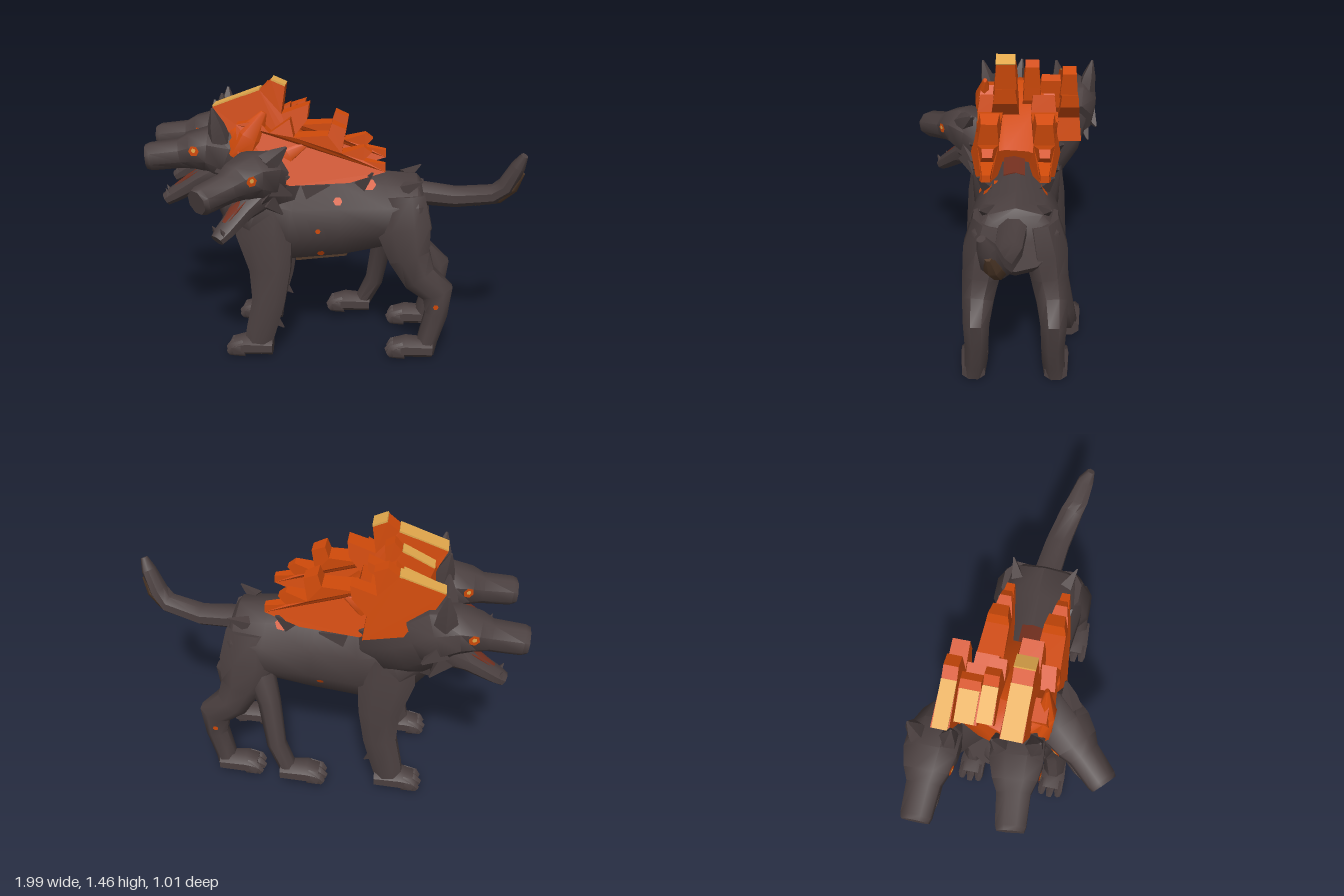
import * as THREE from 'three';
import { toCreasedNormals } from 'three/addons/utils/BufferGeometryUtils.js';

const mat = (name, color) => {
  const m = new THREE.MeshStandardMaterial({ color });
  m.name = name;
  return m;
};

export function createModel() {
  const fur = mat('dark fur', 0x4a3f3f);
  const flame = mat('flame orange', 0xd04a0a);
  const tip = mat('flame yellow', 0xe2a84c);
  const mouth = mat('mouth red', 0x74301f);
  const brown = mat('scorched brown', 0x4e3828);

  const root = new THREE.Group();
  root.name = 'threeHeadedHound';
  const V = (x, y, z) => new THREE.Vector3(x, y, z);

  const add = (name, geo, material, parent = root) => {
    const mesh = new THREE.Mesh(geo, material);
    mesh.name = name;
    parent.add(mesh);
    return mesh;
  };

  // Skin over rings [x, y, z, half width, half height] along a path
  function loft(path, sides = 8) {
    const c = path.map(p => V(p[0], p[1], p[2]));
    const rings = path.map((p, i) => {
      const t = c[Math.min(i + 1, c.length - 1)].clone().sub(c[Math.max(i - 1, 0)]).normalize();
      const s = V(0, 0, 1).addScaledVector(t, -t.z).normalize();
      const n = t.clone().cross(s);
      return Array.from({ length: sides }, (_, j) => {
        const a = (j + 0.5) / sides * Math.PI * 2;
        return c[i].clone().addScaledVector(s, p[3] * 1.05 * Math.cos(a)).addScaledVector(n, p[4] * 1.05 * Math.sin(a));
      });
    });
    const out = [];
    const last = rings.length - 1;
    for (let j = 0; j < sides; j++) {
      const k = (j + 1) % sides;
      for (let i = 0; i < last; i++) {
        const [a, b, d, e] = [rings[i][j], rings[i][k], rings[i + 1][k], rings[i + 1][j]];
        out.push(a, b, d, a, d, e);
      }
      out.push(c[0], rings[0][k], rings[0][j], c[last], rings[last][j], rings[last][k]);
    }
    return toCreasedNormals(new THREE.BufferGeometry().setFromPoints(out), 0.85);
  }

  // Four-sided tuft or claw from a base point to a tip
  const spike = (name, a, b, r, parent = root) =>
    add(name, loft([[...a, r, r], [...b, r * 0.1, r * 0.1]], 4), fur, parent);

  // Thin patch laid on a surface, found by casting along z; lift keeps stacked patches apart
  function patch(name, target, x, y, side, r, material, parent = root, lift = 0.005) {
    const ray = new THREE.Raycaster(V(x, y, side * 2), V(0, 0, -side));
    const hit = ray.intersectObject(target)[0];
    if (!hit) return;
    const m = add(name, new THREE.CircleGeometry(r, 6), material, parent);
    m.position.copy(hit.point).addScaledVector(hit.face.normal, lift);
    m.quaternion.setFromUnitVectors(V(0, 0, 1), hit.face.normal);
  }

  // Torso
  const Z = -0.06;
  const body = add('torso', loft([
    [0.5, 0.78, Z, 0.17, 0.13], [0.46, 0.77, Z, 0.21, 0.17], [0.3, 0.76, Z, 0.23, 0.19],
    [0.05, 0.73, Z, 0.2, 0.23], [-0.2, 0.72, Z, 0.23, 0.25], [-0.38, 0.78, Z, 0.26, 0.24],
    [-0.52, 0.84, Z, 0.19, 0.17]
  ], 10), fur);
  add('belly', loft([[0.08, 0.52, Z, 0.075, 0.03], [-0.19, 0.49, Z, 0.085, 0.03]], 6), brown);
  [[0.04, 0.84, 0.024], [-0.06, 0.69, 0.014], [-0.05, 0.55, 0.02], [0.2, 0.92, 0.035], [0.15, 0.93, 0.025]]
    .forEach(([x, y, r]) => patch('emberSpot', body, x, y, 1, r, flame));
  patch('emberSpot', body, 0.0, 0.62, -1, 0.02, flame);
  patch('emberSpot', body, 0.2, 0.92, -1, 0.035, flame);

  // Tail
  add('tail', loft([
    [0.44, 0.85, -0.05, 0.07, 0.06], [0.65, 0.835, -0.03, 0.065, 0.052], [0.84, 0.865, 0.01, 0.06, 0.048],
    [0.9, 0.92, 0.035, 0.055, 0.046], [0.95, 1.03, 0.06, 0.042, 0.036], [0.975, 1.09, 0.08, 0.02, 0.018]
  ]), fur);
  add('tailScorch', loft([[0.74, 0.838, -0.01, 0.025, 0.045], [0.86, 0.866, 0.015, 0.04, 0.046], [0.92, 0.92, 0.035, 0.042, 0.042],
    [0.955, 1.0, 0.052, 0.02, 0.034]], 8), brown);

  // Legs and paws
  function paw(x, y, z) {
    add('paw', loft([[x + 0.23, y + 0.05, z, 0.06, 0.048], [x + 0.09, y + 0.055, z, 0.072, 0.054], [x + 0.03, y + 0.045, z, 0.068, 0.044]]), fur);
    for (const k of [-1, 0, 1])
      add('toe', loft([[x + 0.08, y + 0.046, z + k * 0.046, 0.024, 0.046], [x + 0.02, y + 0.038, z + k * 0.048, 0.024, 0.036],
        [x - (k ? 0 : 0.012), y + 0.02, z + k * 0.048, 0.015, 0.018]], 6), fur);
  }
  for (const s of [1, -1]) {
    const z = d => Z + s * d;
    add('frontLeg', loft([
      [-0.34, 0.86, z(0.15), 0.09, 0.14], [-0.34, 0.66, z(0.17), 0.1, 0.15], [-0.31, 0.47, z(0.2), 0.08, 0.11],
      [-0.32, 0.3, z(0.22), 0.068, 0.088], [-0.36, 0.14, z(0.235), 0.06, 0.08], [-0.385, 0.03, z(0.235), 0.058, 0.07]
    ]), fur);
    paw(-0.53, 0, z(0.235));
    spike('dewclaw', [-0.29, 0.2, z(0.23)], [-0.24, 0.15, z(0.23)], 0.03);
    const hind = add('hindLeg', loft([
      [0.37, 0.86, z(0.12), 0.09, 0.12], [0.38, 0.7, z(0.15), 0.11, 0.145], [0.415, 0.55, z(0.17), 0.095, 0.11],
      [0.47, 0.44, z(0.185), 0.08, 0.09], [0.565, 0.36, z(0.19), 0.066, 0.085], [0.56, 0.24, z(0.19), 0.06, 0.06],
      [0.52, 0.1, z(0.2), 0.056, 0.054], [0.505, 0.02, z(0.21), 0.055, 0.05]
    ]), fur);
    patch('emberSpot', hind, 0.555, 0.3, s, 0.015, flame);
    paw(0.315, 0, z(0.21));
    // Hip, back and shoulder tufts
    spike('hipTuft', [0.38, 0.9, z(0.13)], [0.47, 0.95, z(0.17)], 0.04);
    spike('backTuft', [0.16, 0.93, z(0.14)], [0.22, 1.0, z(0.19)], 0.045);
    spike('flankTuft', [-0.12, 0.9, z(0.18)], [0.0, 0.94, z(0.22)], 0.05);
    spike('shoulderTuft', [-0.3, 0.93, z(0.18)], [-0.2, 0.99, z(0.25)], 0.06);
  }
  add('extraLeg', loft([
    [0.32, 0.62, -0.22, 0.07, 0.08], [0.265, 0.48, -0.27, 0.06, 0.058], [0.225, 0.24, -0.32, 0.052, 0.05],
    [0.16, 0.1, -0.345, 0.05, 0.045], [0.12, 0.07, -0.345, 0.045, 0.03]
  ]), fur);
  paw(-0.03, 0.035, -0.345);

  // Heads, each built facing -x around the eye line; ear is [tip x, tip height, tip spread]
  function head(name, pos, yaw, pitch, ear) {
    const g = new THREE.Group();
    g.name = name;
    const skull = add('skull', loft([
      [0.22, -0.07, 0, 0.1, 0.12], [0.12, -0.02, 0, 0.13, 0.14], [0.02, 0.01, 0, 0.13, 0.112],
      [-0.06, 0.0, 0, 0.108, 0.092], [-0.12, -0.015, 0, 0.082, 0.074], [-0.27, -0.03, 0, 0.074, 0.07],
      [-0.295, -0.032, 0, 0.066, 0.06]
    ]), fur, g);
    add('lowerJaw', loft([
      [0.1, -0.1, 0, 0.09, 0.09], [-0.03, -0.16, 0, 0.066, 0.055], [-0.16, -0.235, 0, 0.055, 0.04], [-0.205, -0.262, 0, 0.04, 0.032]
    ]), fur, g);
    add('tongue', loft([[-0.02, -0.105, 0, 0.04, 0.014], [-0.08, -0.142, 0, 0.038, 0.014], [-0.15, -0.19, 0, 0.028, 0.01]], 6), mouth, g);
    for (const s of [-1, 1]) {
      add('ear', loft([[0.09, 0.06, s * 0.07, 0.05, 0.06],
        [(0.09 + ear[0]) / 2, 0.06 + (ear[1] - 0.06) * 0.5, s * (0.035 + ear[2] / 2), 0.036, 0.042],
        [ear[0], ear[1], s * ear[2], 0.006, 0.006]], 5), fur, g);
      patch('eye', skull, -0.04, 0.022, s, 0.028, flame, g);
      patch('eyeGlow', skull, -0.04, 0.026, s, 0.012, tip, g, 0.008);
      spike('cheekTuft', [0.1, -0.06, s * 0.08], [0.19, -0.12, s * 0.13], 0.06, g);
      spike('jawTuft', [0.08, -0.13, s * 0.06], [0.15, -0.22, s * 0.09], 0.05, g);
      spike('lowerFang', [-0.18, -0.24, s * 0.032], [-0.2, -0.195, s * 0.034], 0.018, g);
    }
    g.position.set(...pos);
    g.rotation.set(0, yaw, pitch);
    root.add(g);
  }
  head('middleHead', [-0.66, 1.08, 0.03], 0.12, 0, [0.06, 0.24, 0.11]);
  head('farHead', [-0.7, 1.08, -0.375], 0, 0, [0.09, 0.235, 0.1]);
  head('nearHead', [-0.42, 0.99, 0.24], 0.82, 0.1, [0.2, 0.13, 0.11]);

  // Necks
  add('middleNeck', loft([[-0.3, 0.85, -0.05, 0.16, 0.17], [-0.45, 0.96, -0.01, 0.13, 0.16], [-0.56, 1.05, 0.02, 0.11, 0.12]]), fur);
  add('farNeck', loft([[-0.3, 0.84, -0.17, 0.13, 0.17], [-0.45, 0.94, -0.3, 0.12, 0.16], [-0.6, 1.04, -0.37, 0.11, 0.12]]), fur);
  add('nearNeck', loft([[-0.25, 0.84, 0.0, 0.13, 0.15], [-0.32, 0.92, 0.11, 0.12, 0.14], [-0.37, 0.96, 0.2, 0.11, 0.12]]), fur);
  add('chest', loft([[-0.36, 0.72, Z, 0.2, 0.18], [-0.5, 0.77, Z, 0.15, 0.13], [-0.56, 0.82, Z, 0.07, 0.08]]), fur);
  for (const z of [-0.22, -0.06, 0.1]) spike('chestTuft', [-0.48, 0.78, z], [-0.56, 0.69, z], 0.06);

  // Burning mane: central mass, then flame blades that thin out upwards and to the rear
  add('maneMass', loft([
    [-0.54, 1.14, -0.13, 0.14, 0.1], [-0.44, 1.13, -0.1, 0.23, 0.15], [-0.28, 1.07, -0.08, 0.21, 0.14], [-0.05, 0.97, Z, 0.15, 0.07]
  ]), flame);
  add('maneHollow', loft([[-0.06, 0.965, -0.05, 0.06, 0.03], [0.1, 0.94, -0.05, 0.06, 0.03]], 6), mouth);
  function blade(name, pts, z, half, lean) {
    const g = new THREE.ExtrudeGeometry(new THREE.Shape(pts.map(p => new THREE.Vector2(...p))), { depth: 2, bevelEnabled: false });
    const p = g.attributes.position;
    for (let i = 0; i < p.count; i++) {
      const h = THREE.MathUtils.clamp((p.getY(i) - 0.95) / 0.4, 0, 1);
      const rear = 1 - 0.75 * THREE.MathUtils.smoothstep(p.getX(i), -0.1, 0.28);
      p.setZ(i, z + lean * h + (p.getZ(i) - 1) * half * (1.35 - 0.7 * h) * rear);
    }
    g.computeVertexNormals();
    add(name, g, flame);
  }
  const ridge = [[-0.46, 1.06], [-0.47, 1.24], [-0.36, 1.26], [-0.3, 1.2], [-0.2, 1.27], [-0.18, 1.18], [-0.01, 1.19], [0.01, 1.25],
    [0.08, 1.22], [0.06, 1.1], [0.17, 1.13], [0.21, 1.1], [0.17, 1.06], [0.28, 1.04], [0.28, 1.0], [0.1, 0.95], [-0.2, 0.94]];
  blade('nearRidge', ridge, 0.09, 0.07, -0.02);
  blade('farRidge', ridge, -0.2, 0.07, 0.0);
  const crest = [[-0.46, 1.05], [-0.6, 1.31], [-0.36, 1.4], [-0.3, 1.45], [-0.23, 1.42], [-0.25, 1.28], [-0.11, 1.33], [-0.12, 1.25],
    [-0.2, 1.15], [-0.18, 1.0]];
  // Each crest: z, half width, x shift, x scale, height scale
  [[0.0, 0.075, 0, 1, 1], [-0.14, 0.055, -0.01, 0.65, 0.91], [-0.24, 0.07, -0.02, 0.6, 0.72], [-0.335, 0.055, -0.02, 0.9, 0.85]]
    .forEach(([z, w, dx, sx, sy], n) => {
      const pts = crest.map(([x, y]) => [-0.4 + (x + 0.4) * sx + dx, 1 + (y - 1) * sy]);
      blade('flameCrest', pts, z, w, 0);
      // Yellow-hot edge along the front slope, and on the peak of the tallest crest
      for (const i of n ? [1] : [1, 3]) {
        const [a, b] = [pts[i], pts[i + 1]];
        const len = Math.hypot(b[0] - a[0], b[1] - a[1]);
        const m = add('hotEdge', new THREE.BoxGeometry(len, 0.009, w * 1.35), tip);
        m.position.set((a[0] + b[0]) / 2, (a[1] + b[1]) / 2 + 0.003, z);
        m.rotation.z = Math.atan2(b[1] - a[1], b[0] - a[0]);
      }
    });
  // Side licks of flame
  for (const s of [1, -1]) {
    add('flameLick', loft([[-0.45, 1.07, -0.1 + s * 0.2, 0.06, 0.09], [-0.4, 1.18, -0.1 + s * 0.22, 0.05, 0.07], [-0.33, 1.3, -0.1 + s * 0.21, 0.01, 0.015]], 6), flame);
    add('flameLick', loft([[-0.3, 1.02, Z + s * 0.16, 0.05, 0.09], [-0.2, 1.09, Z + s * 0.18, 0.035, 0.05], [-0.1, 1.15, Z + s * 0.17, 0.008, 0.01]], 6), flame);
  }
  return root;
}
